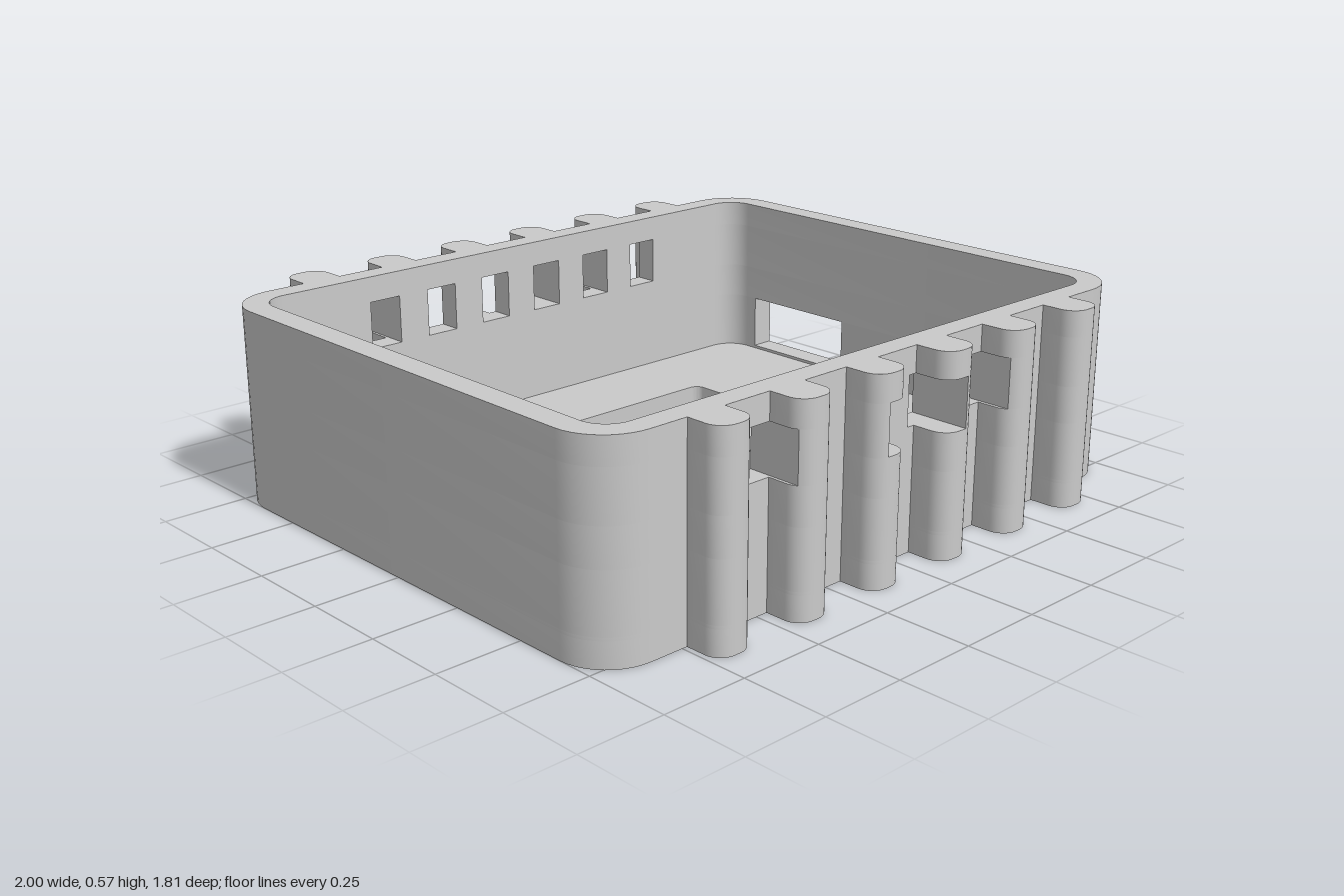
import * as THREE from 'three';
import { toCreasedNormals } from 'three/addons/utils/BufferGeometryUtils.js';

// Main sizes
const W = 1, D = 0.795, H = 0.575, FLOOR = 0.073;
const wi = 0.926, di = 0.725;                       // inside of the walls
const R_OUT = 0.15, R_IN = 0.08;
const SIX = [0, 1, 2, 3, 4, 5].map(i => i - 2.5);
const RIBS = SIX.map(i => i * 0.27);
const WINDOWS = SIX.map(i => [i * 0.203 - 0.051, i * 0.203 + 0.051]);
const WIN_Y = [0.357, 0.499];                       // vent windows, front and back
const PORT_Y = [0.082, 0.25], PORT_Z = [-0.606, -0.21]; // side port on +x

const deg = Math.PI / 180;
const arc = (x, z, r, a0, a1, n = 10) => Array.from({ length: n + 1 }, (_, i) => {
  const a = (a0 + (a1 - a0) * i / n) * deg;
  return [x + r * Math.cos(a), z + r * Math.sin(a)];
});
const flipZ = pts => pts.map(([x, z]) => [x, -z]);
const flipX = pts => pts.map(([x, z]) => [-x, z]);
const rev = pts => [...pts].reverse();
// Holes must run opposite to the outline
const shapeOf = (pts, holes = []) => {
  const v = p => p.map(([x, z]) => new THREE.Vector2(x, z));
  const s = new THREE.Shape(v(pts));
  s.holes = holes.map(h => new THREE.Path(v(h)));
  return s;
};

// Front edge with its ribs, ordered along +x
const ribbedEdge = RIBS.flatMap(c => [
  [c - 0.06, D], ...arc(c - 0.01, 0.855, 0.05, 180, 90, 8),
  ...arc(c + 0.01, 0.855, 0.05, 90, 0, 8), [c + 0.06, D],
]);
const edgeDepth = x => {
  const d = Math.min(...RIBS.map(c => Math.abs(x - c)));
  if (d > 0.06) return D;
  return d < 0.01 ? 0.905 : 0.855 + Math.sqrt(Math.max(0, 0.0025 - (d - 0.01) ** 2));
};
const clipEdge = (a, b) => [
  [a, edgeDepth(a)], ...ribbedEdge.filter(([x]) => x > a && x < b), [b, edgeDepth(b)],
];

// Rounded loop that starts and ends on the +x side
const loop = (w, d, r, edge = []) => [
  ...arc(w - r, r - d, r, 0, -90), ...flipZ(rev(edge)), ...arc(r - w, r - d, r, -90, -180),
  ...arc(r - w, d - r, r, 180, 90), ...edge, ...arc(w - r, d - r, r, 90, 0),
];
const outer = loop(W, D, R_OUT, ribbedEdge);
const inner = loop(wi, di, R_IN);

// Strip of wall between two x positions on the front
const strip = (a, b) => [...clipEdge(a, b), [b, di], [a, di]];

// Speaker slot with round ends
const slot = (x0, z0, x1, z1, r = 0.028) => {
  const a = Math.atan2(z1 - z0, x1 - x0) / deg;
  return [...arc(x1, z1, r, a - 90, a + 90), ...arc(x0, z0, r, a + 90, a + 270)];
};

export function createModel() {
  const model = new THREE.Group();
  const grey = new THREE.MeshStandardMaterial({ color: 0xcacaca });
  grey.name = 'grey plastic';

  // Upright extrusion that keeps only the wanted faces: top, bottom, sides
  function add(name, shape, y0, y1, keep) {
    const g = new THREE.ExtrudeGeometry(shape, { depth: y1 - y0, bevelEnabled: false });
    g.rotateX(Math.PI / 2).translate(0, y1, 0);
    const p = g.attributes.position, n = g.attributes.normal, out = [];
    for (let i = 0; i < p.count; i += 3) {
      const face = n.getY(i) > 0.5 ? 'top' : n.getY(i) < -0.5 ? 'bottom' : 'sides';
      if (!keep.includes(face)) continue;
      for (let k = i; k < i + 3; k++) out.push(p.getX(k), p.getY(k), p.getZ(k));
    }
    const kept = new THREE.BufferGeometry();
    kept.setAttribute('position', new THREE.Float32BufferAttribute(out, 3));
    const mesh = new THREE.Mesh(toCreasedNormals(kept, 0.6), grey);
    mesh.name = name;
    model.add(mesh);
  }

  // Floor openings: display cutout and a burst of slots
  const display = rev(loop(0.494, 0.144, 0.03)).map(([x, z]) => [x - 0.002, z - 0.299]);
  const cx = 0, cz = 0.29, slots = [];
  for (const s of [1, -1]) {
    slots.push(slot(cx, cz + s * 0.11, cx, cz + s * 0.253));
    slots.push(slot(cx + s * 0.19, cz, cx + s * 0.541, cz));
    for (const t of [1, -1]) {
      slots.push(slot(cx + s * 0.094, cz + t * 0.09, cx + s * 0.274, cz + t * 0.22));
      slots.push(slot(cx + s * 0.165, cz + t * 0.054, cx + s * 0.47, cz + t * 0.128));
    }
  }
  const openings = [display, ...slots];
  add('base', shapeOf(outer, openings), 0, FLOOR, ['bottom', 'sides']);
  add('floor', shapeOf(inner, openings), 0, FLOOR, ['top']);

  // Closed bands of wall
  const ring = shapeOf(outer, [rev(inner)]);
  add('wallFoot', ring, FLOOR, PORT_Y[0], ['sides']);
  add('wallMiddle', ring, PORT_Y[1], WIN_Y[0], ['sides']);
  add('wallRim', ring, WIN_Y[1], H, ['sides', 'top']);

  // Band broken by the side port, with its sill and lintel
  const [pz0, pz1] = PORT_Z;
  const portBand = [...outer, [W, pz1], [wi, pz1], ...rev(inner), [wi, pz0], [W, pz0]];
  add('portWall', shapeOf(portBand), ...PORT_Y, ['sides']);
  const portPlug = shapeOf([[W, pz0], [W, pz1], [wi, pz1], [wi, pz0]]);
  add('portSill', portPlug, 0, PORT_Y[0], ['top']);
  add('portLintel', portPlug, PORT_Y[1], H, ['bottom']);

  // Band broken by the vent windows: two end pieces and the posts between
  const e = WINDOWS[5][1];
  const end = clipEdge(e, W - R_OUT).slice(0, -1);
  const endPiece = [
    ...end, ...arc(W - R_OUT, D - R_OUT, R_OUT, 90, 0), ...arc(W - R_OUT, R_OUT - D, R_OUT, 0, -90),
    ...flipZ(rev(end)), [e, -di],
    ...arc(wi - R_IN, R_IN - di, R_IN, -90, 0), ...arc(wi - R_IN, di - R_IN, R_IN, 0, 90), [e, di],
  ];
  add('leftEndWall', shapeOf(endPiece), ...WIN_Y, ['sides']);
  add('rightEndWall', shapeOf(flipX(endPiece)), ...WIN_Y, ['sides']);
  for (const [side, place] of [['front', p => p], ['back', flipZ]]) {
    WINDOWS.forEach(([a, b], i) => {
      const plug = shapeOf(place(strip(a, b)));
      add(side + 'WindowSill', plug, 0, WIN_Y[0], ['top']);
      add(side + 'WindowLintel', plug, WIN_Y[1], H, ['bottom']);
      if (i < 5) add(side + 'WindowPost', shapeOf(place(strip(b, WINDOWS[i + 1][0]))), ...WIN_Y, ['sides']);
    });
  }
  return model;
}
